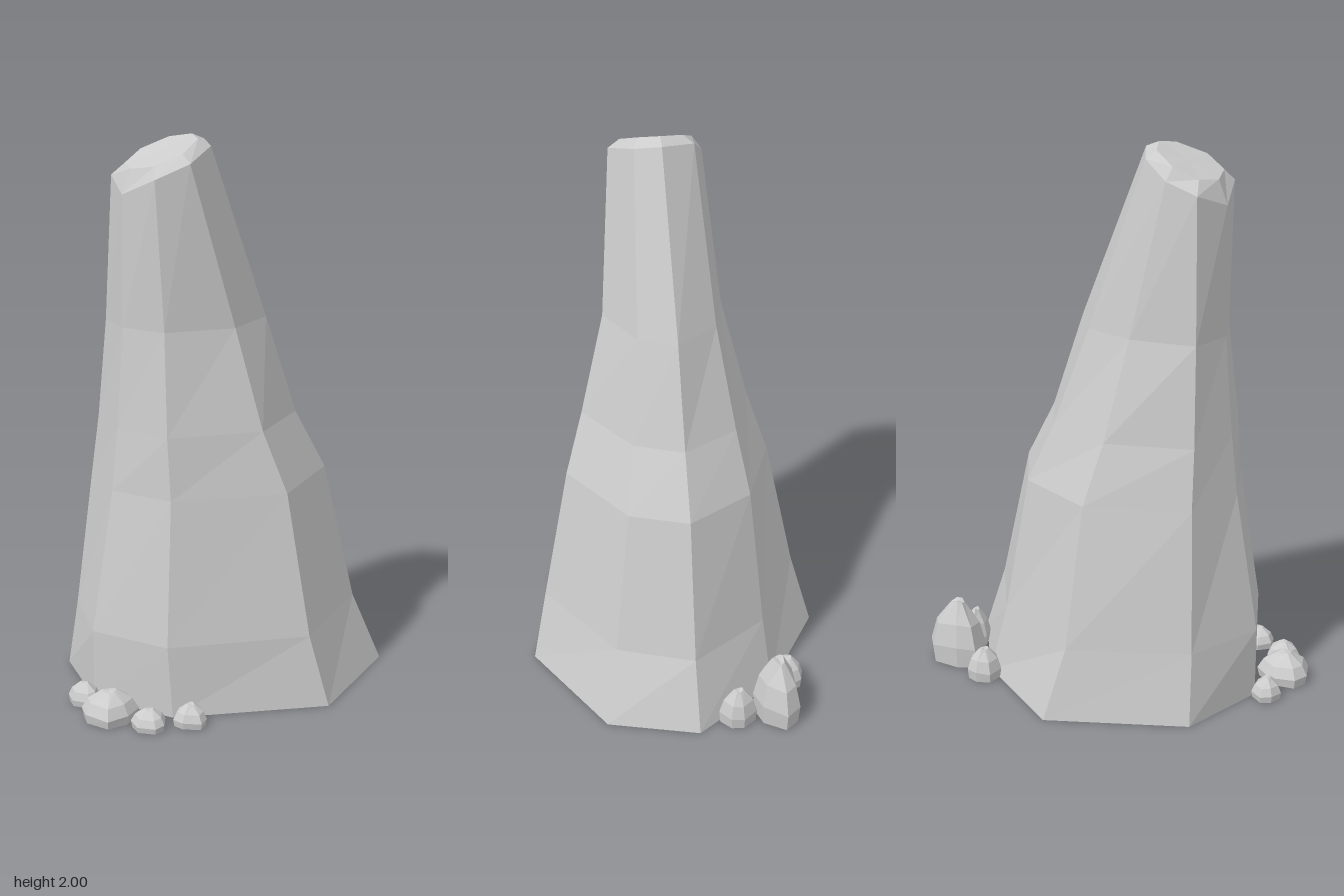
import * as THREE from 'three';

const material = new THREE.MeshStandardMaterial({ color: 0xcccccc, flatShading: true, side: THREE.DoubleSide });

// Skin a stack of equal-sized rings of [x, y, z] points, closing the last ring with a fan
function loft(rings, name) {
  const n = rings[0].length;
  const out = [];
  for (let r = 0; r < rings.length - 1; r++) {
    for (let i = 0; i < n; i++) {
      const j = (i + 1) % n;
      const a = rings[r][i], b = rings[r][j], c = rings[r + 1][i], d = rings[r + 1][j];
      out.push(...a, ...c, ...b, ...b, ...c, ...d);
    }
  }
  const top = rings[rings.length - 1];
  const centre = [0, 1, 2].map(k => top.reduce((s, p) => s + p[k] / n, 0));
  top.forEach((p, i) => out.push(...p, ...centre, ...top[(i + 1) % n]));
  const geometry = new THREE.BufferGeometry();
  geometry.setAttribute('position', new THREE.Float32BufferAttribute(out, 3));
  geometry.computeVertexNormals();
  const mesh = new THREE.Mesh(geometry, material);
  mesh.name = name;
  return mesh;
}

// Eight-sided leaning spire: heights of the level rings and their [x, z] corners
const heights = [0, 0.26, 0.77, 0.99, 1.35];
const sections = [
  [[0.635, 0.02], [0.52, 0.34], [0.075, 0.547], [-0.42, 0.28], [-0.545, -0.025], [-0.435, -0.355], [0.05, -0.55], [0.42, -0.3]],
  [[0.545, 0.02], [0.425, 0.285], [0.03, 0.49], [-0.43, 0.265], [-0.545, -0.025], [-0.42, -0.31], [-0.005, -0.48], [0.36, -0.275]],
  [[0.422, 0.015], [0.33, 0.22], [0.005, 0.39], [-0.37, 0.21], [-0.455, -0.02], [-0.385, -0.25], [-0.02, -0.372], [0.28, -0.235]],
  [[0.305, 0.01], [0.22, 0.18], [-0.05, 0.32], [-0.365, 0.185], [-0.43, -0.02], [-0.375, -0.215], [-0.065, -0.3], [0.19, -0.2]],
  [[0.18, 0.01], [0.11, 0.14], [-0.1, 0.228], [-0.34, 0.14], [-0.4, -0.02], [-0.36, -0.18], [-0.12, -0.21], [0.07, -0.15]]
];

// Tilted shoulder and bevelled cap at the tip, as [x, y, z]
const shoulder = [[-0.07, 1.98, 0.015], [-0.11, 1.965, 0.105], [-0.25, 1.92, 0.172], [-0.36, 1.87, 0.12],
  [-0.396, 1.81, -0.02], [-0.345, 1.86, -0.155], [-0.23, 1.9, -0.158], [-0.13, 1.96, -0.11]];
const cap = [[-0.12, 2, 0.012], [-0.15, 1.99, 0.085], [-0.25, 1.95, 0.13], [-0.335, 1.91, 0.085],
  [-0.36, 1.895, -0.015], [-0.325, 1.905, -0.1], [-0.24, 1.945, -0.125], [-0.155, 1.985, -0.075]];

// Pebbles: x, z, half width, half depth, height, turn
const pebbles = [
  [-0.59, -0.02, 0.055, 0.065, 0.08, 0.3],
  [-0.595, 0.145, 0.1, 0.092, 0.11, 0.5],
  [-0.53, 0.29, 0.062, 0.066, 0.072, 1.1],
  [-0.4, 0.355, 0.06, 0.064, 0.078, 0.8],
  [0.412, -0.36, 0.066, 0.06, 0.12, 0.2],
  [0.572, -0.28, 0.115, 0.083, 0.25, 0],
  [0.59, -0.13, 0.055, 0.068, 0.145, 0.6]
];

// Rough dome profile: [radius, height] as fractions
const dome = [[0.93, 0], [1, 0.3], [0.78, 0.65], [0.25, 0.97]];

function makePebble([x, z, w, d, h, turn], index) {
  const sides = 7;
  const rings = dome.map(([r, y], level) => Array.from({ length: sides }, (_, i) => {
    const a = turn + (i + 0.15 * Math.sin(i * 2.3 + index)) / sides * Math.PI * 2;
    const k = r * (1 + 0.05 * Math.sin(i * 3.1 + index * 1.7));
    const lift = level ? 0.03 * Math.sin(i * 1.9 + index) : 0;
    return [x + Math.cos(a) * w * k, h * (y + lift), z + Math.sin(a) * d * k];
  }));
  return loft(rings, 'pebble' + (index + 1));
}

export function createModel() {
  const model = new THREE.Group();
  model.name = 'rockSpire';

  // Main spire, open underneath
  const rings = sections.map((ring, r) => ring.map(([x, z]) => [x, heights[r], z]));
  model.add(loft([...rings, shoulder, cap], 'spire'));

  // Small stones clustered at the foot
  const stones = new THREE.Group();
  stones.name = 'pebbles';
  pebbles.forEach((p, i) => stones.add(makePebble(p, i)));
  model.add(stones);
  return model;
}
